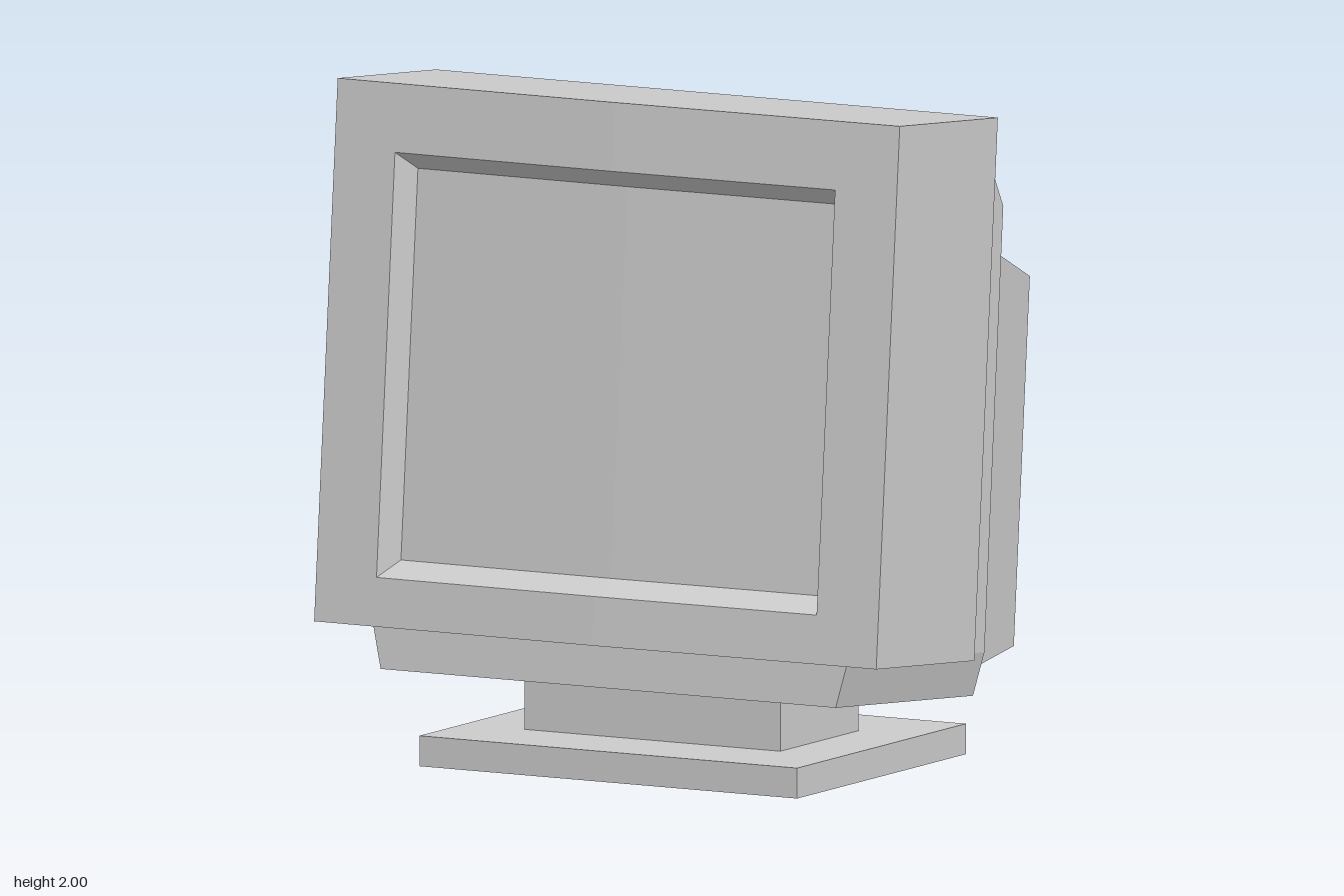
import * as THREE from 'three';

const material = new THREE.MeshStandardMaterial({ color: 0xcccccc, flatShading: true });
const HALF_WIDTH = 0.945;
const BOW = 0.02;

// Skin a list of rings; each runs counter-clockwise seen from the direction of travel.
function loft(name, rings, capStart = true, capEnd = true) {
  const pos = [];
  const quad = (a, b, c, d) => pos.push(...a, ...b, ...c, ...a, ...c, ...d);
  const n = rings[0].length;
  for (let r = 0; r + 1 < rings.length; r++) {
    for (let i = 0; i < n; i++) {
      const j = (i + 1) % n;
      quad(rings[r][i], rings[r][j], rings[r + 1][j], rings[r + 1][i]);
    }
  }
  const cap = (p, flip) => {
    for (let i = 0; i < n / 2 - 1; i++) {
      const q = [p[i], p[i + 1], p[n - 2 - i], p[n - 1 - i]];
      quad(...(flip ? q.reverse() : q));
    }
  };
  if (capStart) cap(rings[0], true);
  if (capEnd) cap(rings[rings.length - 1], false);
  const geo = new THREE.BufferGeometry();
  geo.setAttribute('position', new THREE.Float32BufferAttribute(pos, 3));
  geo.computeVertexNormals();
  const mesh = new THREE.Mesh(geo, material);
  mesh.name = name;
  return mesh;
}

// Upright rectangle at depth z, optionally bowed forward along its middle.
function upright(z, x, y0, y1, bow = 0) {
  const zAt = (px) => z + bow * (1 - Math.abs(px) / HALF_WIDTH);
  return [[-x, y0], [0, y0], [x, y0], [x, y1], [0, y1], [-x, y1]]
    .map(([px, py]) => [px, py, zAt(px)]);
}

// Level rectangle at height y, from back z0 to front z1.
function level(y, x, z0, z1) {
  return [[-x, y, z1], [x, y, z1], [x, y, z0], [-x, y, z0]];
}

function box(name, w, y0, y1, z0, z1) {
  const mesh = new THREE.Mesh(new THREE.BoxGeometry(w, y1 - y0, z1 - z0), material);
  mesh.position.set(0, (y0 + y1) / 2, (z0 + z1) / 2);
  mesh.name = name;
  return mesh;
}

export function createModel() {
  const model = new THREE.Group();
  model.name = 'monitor';

  // Stand
  model.add(box('basePlate', 1.27, 0, 0.09, -0.265, 0.73));
  model.add(box('standNeck', 0.86, 0.09, 0.257, 0.01, 0.47));

  // Everything above the stand leans back by five degrees
  const head = new THREE.Group();
  head.name = 'tiltedHead';
  head.rotation.x = -THREE.MathUtils.degToRad(5);
  model.add(head);

  // Front shell with chamfered back
  const shellBack = upright(0.26, HALF_WIDTH, 0.343, 1.935);
  const shellFront = upright(0.84, HALF_WIDTH, 0.343, 1.935, BOW);
  head.add(loft('shellChamfer', [upright(0.206, 0.797, 0.343, 1.845), shellBack], true, false));
  head.add(loft('frontShell', [shellBack, shellFront], false, false));

  // Bezel face, sloping recess and screen
  const opening = upright(0.84, 0.74, 0.487, 1.733, BOW);
  const screenEdge = upright(0.745, 0.714, 0.536, 1.684, BOW);
  head.add(loft('bezel', [shellFront, opening], false, false));
  head.add(loft('screenRecess', [opening, screenEdge], false, false));
  head.add(loft('screen', [screenEdge], false, true));

  // Middle casing with sloped top, and the tapered shelf below it
  head.add(loft('middleCasing', [
    level(0.343, 0.797, -0.06, 0.206),
    level(1.651, 0.797, -0.057, 0.206),
    level(1.845, 0.797, 0.076, 0.206),
  ], false));
  head.add(loft('lowerShelf', [
    level(0.213, 0.765, -0.06, 0.752),
    level(0.343, 0.797, -0.06, 0.752),
  ]));

  // Tapered rear housing
  head.add(loft('rearHousing', [
    upright(-0.706, 0.53, 0.313, 1.397),
    upright(-0.059, 0.62, 0.212, 1.596),
  ]));

  return model;
}
